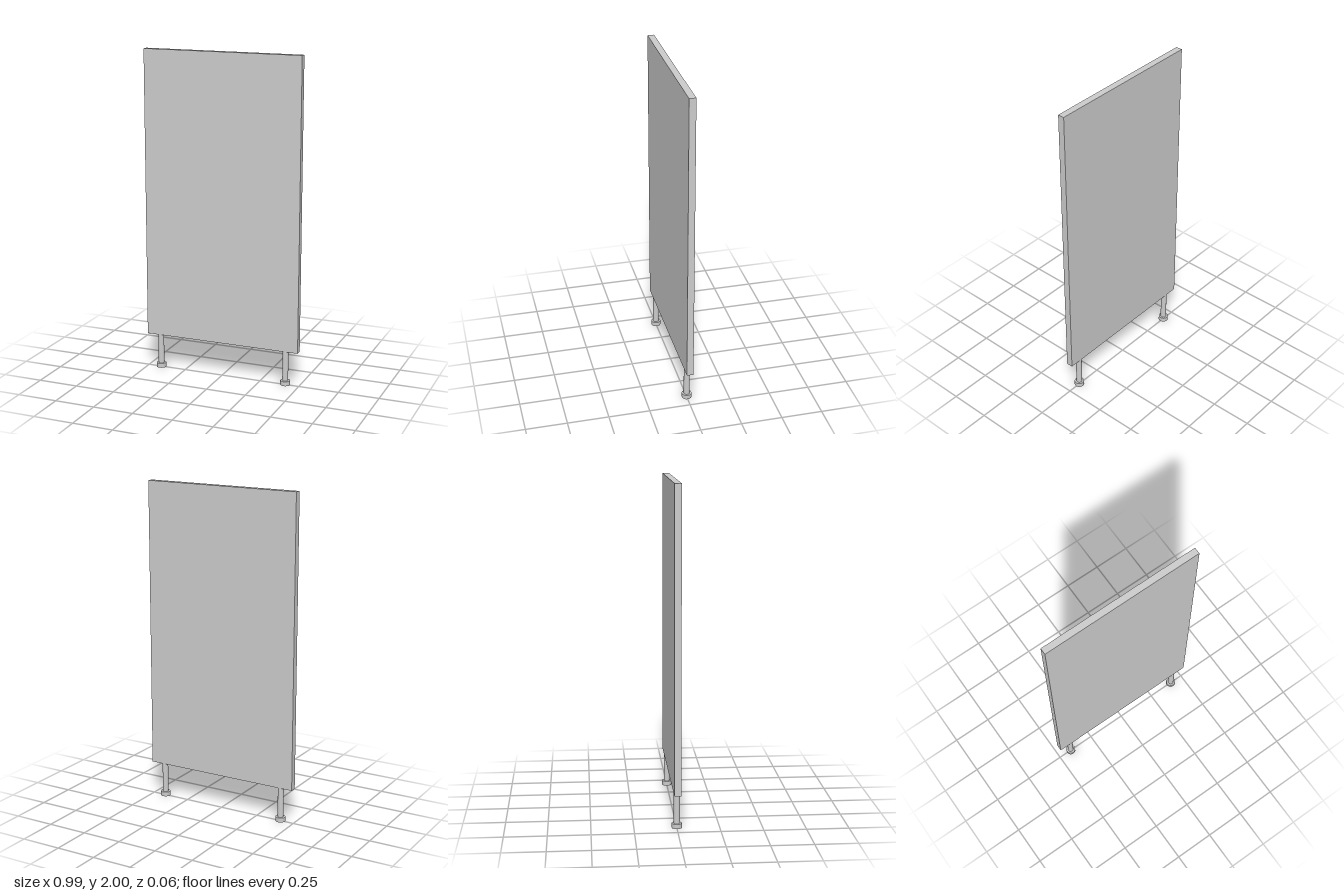
import * as THREE from 'three';

export function createModel() {
  const model = new THREE.Group();
  const material = new THREE.MeshStandardMaterial({ color: 0xcccccc });
  const panelBottom = 0.216, footHeight = 0.028;

  const add = (parent, name, geometry, y) => {
    const mesh = new THREE.Mesh(geometry, material);
    mesh.name = name;
    mesh.position.y = y;
    parent.add(mesh);
  };

  // Flat upright panel
  const panelHeight = 2 - panelBottom;
  add(model, 'panel', new THREE.BoxGeometry(0.992, panelHeight, 0.04), panelBottom + panelHeight / 2);

  // Two round legs, each on a wider disc foot
  for (const side of [-1, 1]) {
    const leg = new THREE.Group();
    leg.name = side > 0 ? 'leftLeg' : 'rightLeg';
    leg.position.x = side * 0.413;
    const postHeight = panelBottom - footHeight;
    add(leg, 'post', new THREE.CylinderGeometry(0.018, 0.018, postHeight, 16), footHeight + postHeight / 2);
    add(leg, 'foot', new THREE.CylinderGeometry(0.03, 0.03, footHeight, 16), footHeight / 2);
    model.add(leg);
  }

  return model;
}
